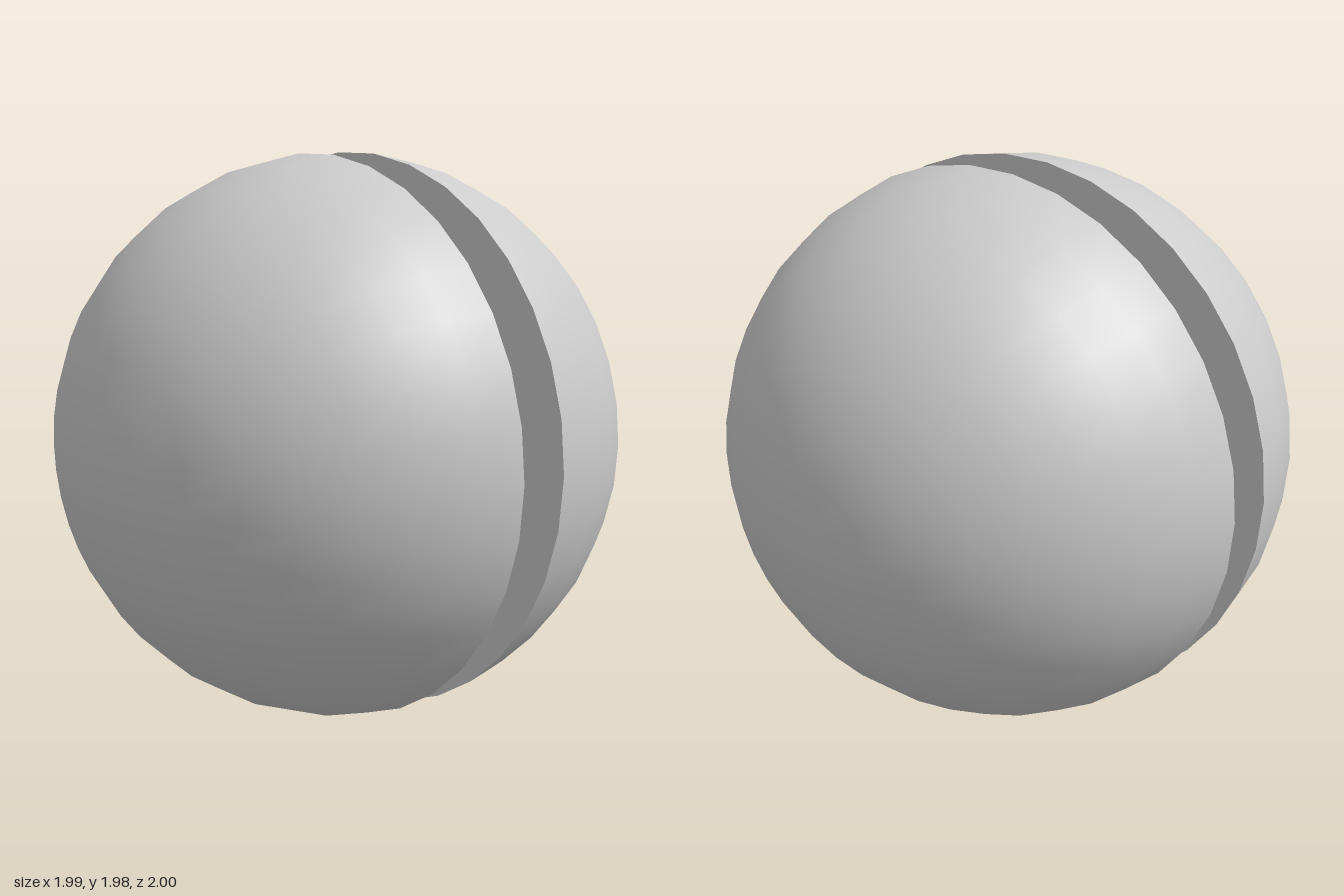
import * as THREE from 'three';

const SIDES = 34;
const RINGS = 17;
const STEP = Math.PI / RINGS;
const material = new THREE.MeshStandardMaterial({ color: 0xcccccc });

// Dome bulging toward +z, stopped one half ring before the equator, closed by a flat disc
function closedDome(name, radius) {
  const group = new THREE.Group();
  group.name = name;

  const dome = new THREE.SphereGeometry(radius, SIDES, 8, 0, Math.PI * 2, 0, STEP * 8);
  dome.rotateX(Math.PI / 2);
  const shell = new THREE.Mesh(dome, material);
  shell.name = name + 'Shell';

  const disc = new THREE.CircleGeometry(radius * Math.cos(STEP / 2), SIDES);
  disc.rotateY(Math.PI);
  disc.translate(0, 0, radius * Math.sin(STEP / 2));
  const face = new THREE.Mesh(disc, material);
  face.name = name + 'InnerFace';

  group.add(shell, face);
  return group;
}

export function createModel() {
  const model = new THREE.Group();
  model.name = 'yoyo';

  // Two mirrored halves, each with a smaller raised hub on its inner face
  for (const [name, turn] of [['frontHalf', 0], ['backHalf', Math.PI]]) {
    const half = new THREE.Group();
    half.name = name;
    half.add(closedDome('body', 1), closedDome('hub', 0.543));
    half.rotation.y = turn;
    model.add(half);
  }

  // Rounded axle joining the halves
  const ball = new THREE.SphereGeometry(0.248, SIDES, RINGS);
  ball.rotateX(Math.PI / 2);
  const axle = new THREE.Mesh(ball, material);
  axle.name = 'axle';
  model.add(axle);

  // Rest the lowest rim edge on the ground
  model.position.y = Math.cos(STEP / 2) ** 2;
  return model;
}
